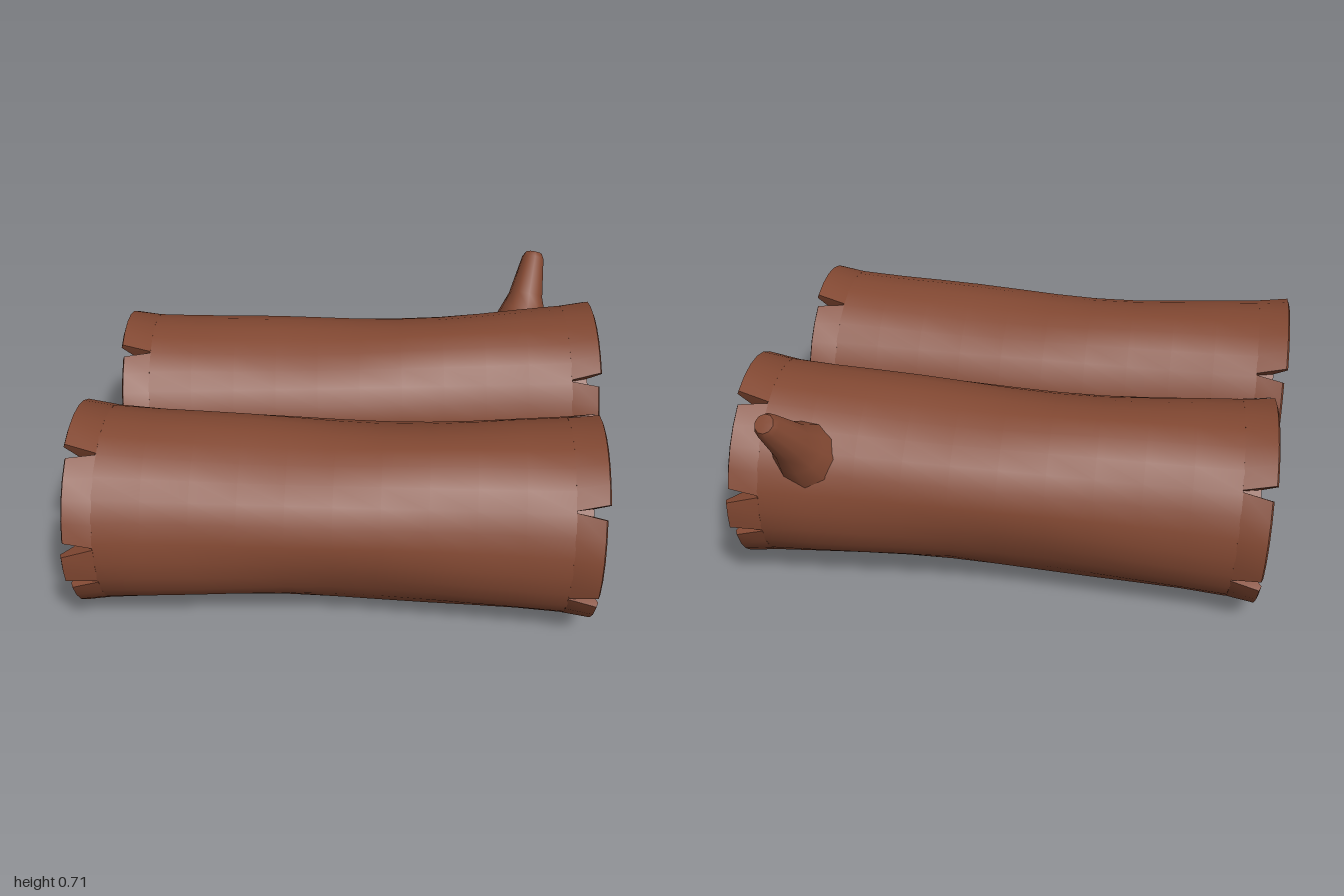
import * as THREE from 'three';
import { toCreasedNormals } from 'three/addons/utils/BufferGeometryUtils.js';

const bark = new THREE.MeshStandardMaterial({ color: 0x824832 });
bark.name = 'bark brown';
const wood = new THREE.MeshStandardMaterial({ color: 0xb17e4d });
wood.name = 'cut wood tan';

const HALF = 0.755;          // half length of a log
const ROOT = HALF - 0.085;   // where the split bark begins
const rad = THREE.MathUtils.degToRad;

function mesh(name, geometry, material) {
  const m = new THREE.Mesh(geometry, material);
  m.name = name;
  return m;
}

// Bark radius: slimmer and slightly lumpy in the middle, flared at both ends
function barkRadius(angle, z) {
  const t = z / HALF;
  const lump = 0.007 * Math.sin(3 * angle + 4 * t) + 0.004 * Math.sin(5 * angle - 3 * t);
  return 0.264 + 0.032 * t * t + lump * Math.max(0, 1 - (z / ROOT) ** 2);
}

function barkBody() {
  const g = new THREE.CylinderGeometry(1, 1, 2 * ROOT, 28, 10);
  g.rotateX(Math.PI / 2);
  const p = g.attributes.position;
  for (let i = 0; i < p.count; i++) {
    const x = p.getX(i), y = p.getY(i), z = p.getZ(i);
    const r = barkRadius(Math.atan2(y, x), z);
    p.setXY(i, x * r, y * r);
  }
  return toCreasedNormals(g, 0.8);
}

// One split piece of bark: a closed profile swept around the log axis
function barkFlap(from, to, reach, flare) {
  const rootR = barkRadius(0, ROOT);
  const tip = HALF + reach;
  const profile = [
    [rootR, ROOT - 0.002, 0.5], [0.299 + flare, tip - 0.006, 4], [0.284 + flare, tip, 4],
    [0.247, HALF - 0.032, 2.5], [0.247, ROOT - 0.002, 0.5],
  ];
  const n = Math.max(2, Math.round((to - from) / 13));
  const k = profile.length, positions = [], index = [];
  for (let i = 0; i <= n; i++) {
    for (const [r, z, inset] of profile) {
      const a = rad(THREE.MathUtils.lerp(from + inset, to - inset, i / n));
      positions.push(r * Math.cos(a), r * Math.sin(a), z);
    }
  }
  for (let i = 0; i < n; i++) {
    for (let j = 0; j < k; j++) {
      const a = i * k + j, b = i * k + (j + 1) % k;
      index.push(a, a + k, b + k, a, b + k, b);
    }
  }
  for (let j = 1; j < k - 1; j++) {
    index.push(0, j, j + 1, n * k, n * k + j + 1, n * k + j);
  }
  const g = new THREE.BufferGeometry();
  g.setAttribute('position', new THREE.Float32BufferAttribute(positions, 3));
  g.setIndex(index);
  return toCreasedNormals(g, 0.75);
}

// Cut end: recessed wooden disc inside a ring of split bark
function logEnd(name) {
  const end = new THREE.Group();
  end.name = name;
  const core = new THREE.CylinderGeometry(0.246, 0.246, 0.055, 28, 1, true);
  core.rotateX(Math.PI / 2).translate(0, 0, HALF - 0.0595);
  end.add(mesh('innerBark', core, bark));

  const z = HALF - 0.032;
  const disc = new THREE.LatheGeometry([
    new THREE.Vector2(0.25, z), new THREE.Vector2(0.235, z - 0.008), new THREE.Vector2(0, z - 0.012),
  ], 28);
  disc.rotateX(Math.PI / 2);
  end.add(mesh('cutFace', disc, wood));

  // start angle, end angle, extra length, extra flare
  const flaps = [
    [10, 65, 0, 0], [65, 140, 0.008, 0.004], [140, 197, 0, 0], [197, 265, 0, 0.002],
    [265, 295, 0.004, 0.004], [295, 345, -0.004, 0], [345, 370, 0.006, 0.006],
  ];
  for (const f of flaps) end.add(mesh('barkFlap', barkFlap(...f), bark));
  return end;
}

function createLog(name, x, y, z, heading, pitch) {
  const log = new THREE.Group();
  log.name = name;
  log.add(mesh('barkBody', barkBody(), bark));
  const back = logEnd('backEnd');
  back.rotation.y = Math.PI;
  log.add(logEnd('frontEnd'), back);
  log.position.set(x, y, z);
  log.rotation.set(-pitch, heading, 0, 'YXZ');
  return log;
}

// Broken branch stub with a flared foot
function branchStub() {
  const base = new THREE.Vector3(0.765, 0.52, -0.06);
  const tip = new THREE.Vector3(0.887, 0.7, -0.145);
  const dir = tip.clone().sub(base);
  const len = dir.length();
  const g = new THREE.LatheGeometry([
    [0.1, -0.035], [0.078, 0.025], [0.058, 0.08], [0.037, len - 0.02], [0.028, len - 0.003], [0, len],
  ].map(([r, h]) => new THREE.Vector2(r, h)), 10);
  const stub = mesh('branchStub', toCreasedNormals(g, 0.7), bark);
  stub.position.copy(base);
  stub.quaternion.setFromUnitVectors(new THREE.Vector3(0, 1, 0), dir.normalize());
  return stub;
}

export function createModel() {
  const model = new THREE.Group();
  model.name = 'logPair';
  model.add(
    createLog('frontLog', -0.22, 0.335, 0.205, rad(50.1), 0),
    createLog('backLog', 0.205, 0.334, -0.232, rad(52.3), 0.03),
    branchStub(),
  );
  return model;
}
